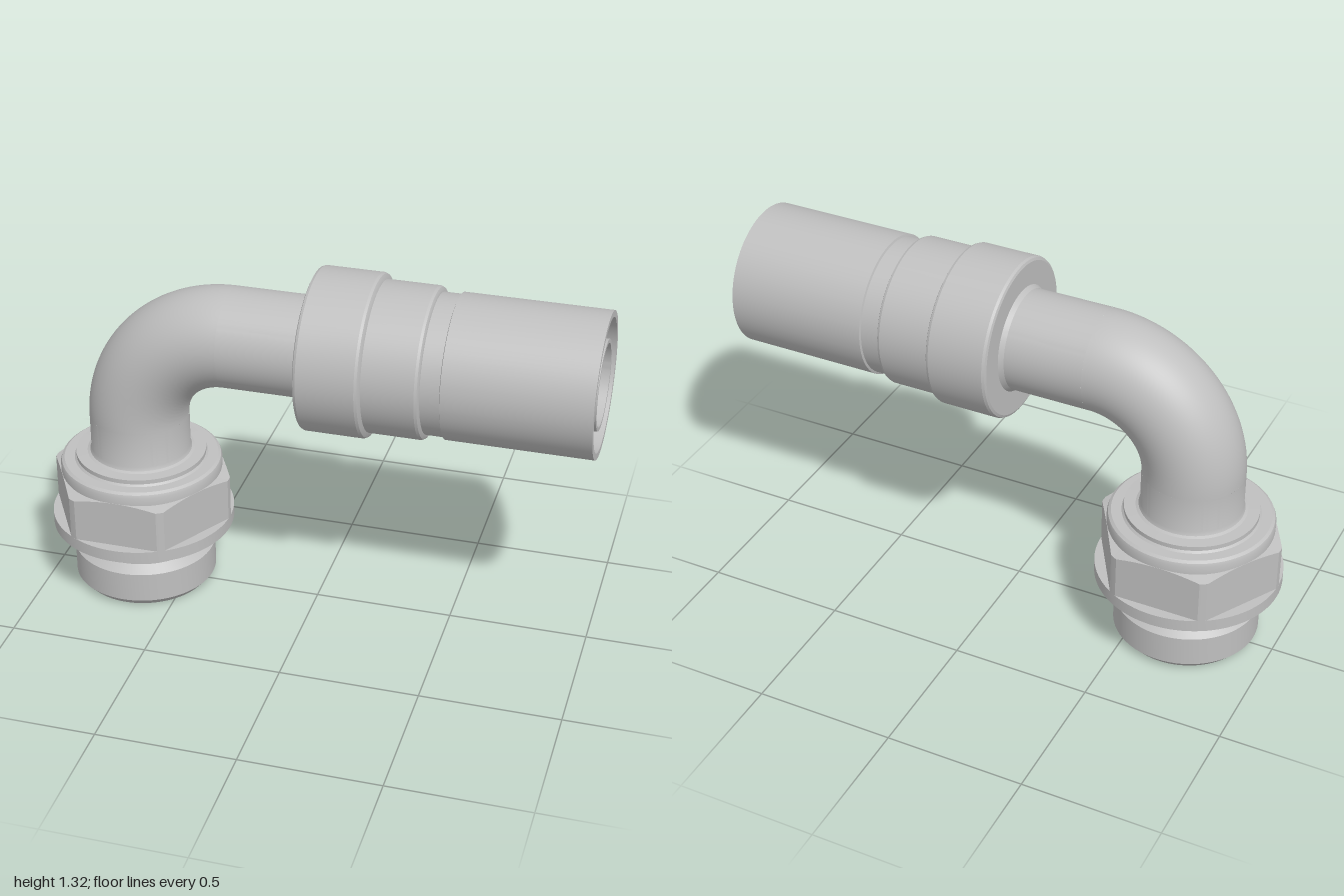
import * as THREE from 'three';
import { toCreasedNormals } from 'three/addons/utils/BufferGeometryUtils.js';

const AXIS_X = -0.667; // vertical axis of the threaded end
const AXIS_Y = 1.03; // horizontal axis of the hose end
const BEND = 0.35; // centreline radius of the elbow
const TUBE = 0.18, BORE = 0.143;
const CREASE = 0.38;

export function createModel() {
  const steel = new THREE.MeshStandardMaterial({ color: 0xbfbfbf });
  steel.name = 'steel grey';
  const model = new THREE.Group();
  model.name = 'elbowHoseFitting';

  const add = (name, geometry) => {
    const mesh = new THREE.Mesh(toCreasedNormals(geometry, CREASE), steel);
    mesh.name = name;
    model.add(mesh);
    return mesh;
  };
  // Closed profile of [radius, height] pairs, turned about y
  const turn = (profile, segments = 96) =>
    new THREE.LatheGeometry(profile.map(([r, h]) => new THREE.Vector2(r, h)), segments);

  // Threaded end: bore, chamfered stub, groove, flange, collars and neck
  const bendStart = AXIS_Y - BEND;
  add('threadedEnd', turn([
    [BORE, bendStart], [BORE, 0], [0.235, 0], [0.26, 0.028],
    [0.26, 0.14], [0.23, 0.168], [0.23, 0.225], [0.233, 0.235], [0.24, 0.24],
    [0.333, 0.24], [0.333, 0.285], [0.285, 0.285],
    [0.285, 0.455], [0.294, 0.455], [0.294, 0.487], [0.29, 0.498], [0.28, 0.505],
    [0.243, 0.505], [0.236, 0.512], [0.236, 0.528], [0.195, 0.53],
    [0.185, 0.535], [TUBE, 0.548], [TUBE, bendStart],
  ])).position.x = AXIS_X;

  // Hex nut: a turned ring pressed to six flats, with clipped and chamfered corners
  const hex = turn([[0.28, 0.283], [0.34, 0.283], [0.34, 0.46], [0.28, 0.46]], 144);
  const p = hex.attributes.position;
  const sector = Math.PI / 3;
  for (let i = 0; i < p.count; i++) {
    const x = p.getX(i), z = p.getZ(i);
    if (Math.hypot(x, z) < 0.3) continue;
    const angle = Math.atan2(x, z);
    const local = angle - Math.round(angle / sector) * sector;
    const r = Math.min(0.295 / Math.cos(local), 0.333);
    const y = p.getY(i) > 0.4 ? 0.46 - (r - 0.295) * 0.4 : p.getY(i);
    p.setXYZ(i, r * Math.sin(angle), y, r * Math.cos(angle));
  }
  add('hexNut', hex).position.x = AXIS_X;

  // Elbow: quarter ring outside, with a second one facing inward for the bore
  const bend = (radius) =>
    new THREE.TorusGeometry(BEND, radius, 72, 48, Math.PI / 2).rotateZ(Math.PI / 2);
  const boreBend = bend(BORE);
  boreBend.index.array.reverse();
  const bendEnd = AXIS_X + BEND;
  add('elbow', bend(TUBE)).position.set(bendEnd, bendStart, 0);
  add('elbowBore', boreBend).position.set(bendEnd, bendStart, 0);

  // Hose end: straight tube, stepped sleeve, open socket and inner nipple
  const sleeve = add('hoseSleeve', turn([
    [TUBE, bendEnd], [TUBE, -0.03], [0.19, -0.013],
    [0.275, -0.013], [0.284, -0.009], [0.288, 0],
    [0.288, 0.203], [0.284, 0.212], [0.275, 0.217], [0.266, 0.22],
    [0.266, 0.403], [0.262, 0.412], [0.255, 0.416], [0.246, 0.418],
    [0.246, 0.485], [0.254, 0.488], [0.254, 1],
    [0.231, 1], [0.23, 0.5], [0.205, 0.42], [0.178, 0.42], [0.178, 0.5],
    [0.157, 0.52], [0.157, 0.995], [BORE, 0.995], [BORE, bendEnd],
  ]));
  sleeve.rotation.z = -Math.PI / 2;
  sleeve.position.y = AXIS_Y;

  return model;
}
